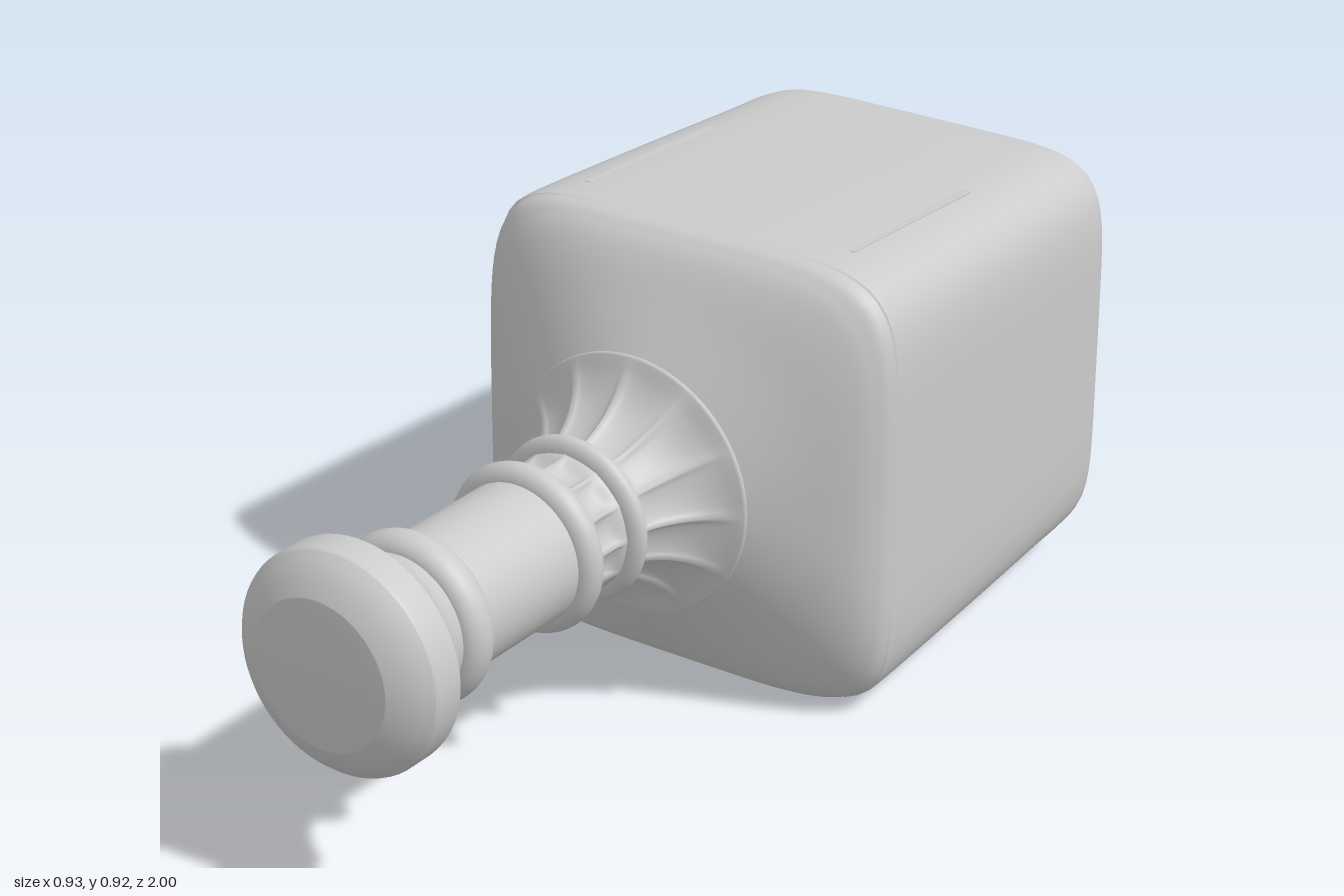
import * as THREE from 'three';

const AXIS_Y = 0.46;
const material = new THREE.MeshStandardMaterial({ color: 0xcccccc });

// Closed loft along z (front to back); pointAt(row, angle) gives [x, y, z]
function loft(rows, segments, pointAt) {
  const pos = [], index = [];
  rows.forEach((row) => {
    for (let j = 0; j < segments; j++) pos.push(...pointAt(row, (j / segments) * Math.PI * 2));
  });
  for (let i = 0; i < rows.length - 1; i++) {
    for (let j = 0; j < segments; j++) {
      const k = (j + 1) % segments;
      const a = i * segments + j, b = i * segments + k;
      const c = a + segments, d = b + segments;
      index.push(a, c, b, b, c, d);
    }
  }
  const g = new THREE.BufferGeometry();
  g.setAttribute('position', new THREE.Float32BufferAttribute(pos, 3));
  g.setIndex(index);
  g.computeVertexNormals();
  return g;
}

// Smooth curve through [z, size, third] rows
function smoothRows(rows, count) {
  const curve = new THREE.CatmullRomCurve3(rows.map((r) => new THREE.Vector3(...r)), false, 'centripetal');
  return curve.getPoints(count).map((p) => [p.x, p.y, p.z]);
}

export function createModel() {
  const model = new THREE.Group();
  const bottle = new THREE.Group();
  bottle.name = 'bottle';
  bottle.position.y = AXIS_Y;
  model.add(bottle);

  const add = (name, geometry) => {
    const mesh = new THREE.Mesh(geometry, material);
    mesh.name = name;
    bottle.add(mesh);
    return mesh;
  };
  // Turned part: profile of [radius, z] from back to front
  const turn = (name, profile) => {
    const g = new THREE.LatheGeometry(profile.map(([r, z]) => new THREE.Vector2(r, z)), 64);
    return add(name, g.rotateX(Math.PI / 2));
  };

  // Square body: rows of [z, half width, squareness], round at the shoulder, sunken at the base
  const shell = smoothRows([
    [0.06, 0.245, 2], [0, 0.337, 2.6], [-0.05, 0.41, 3.6], [-0.09, 0.449, 4.8],
    [-0.13, 0.465, 5.8], [-0.2, 0.464, 6.4], [-0.5, 0.451, 6.5], [-0.8, 0.437, 6.5],
    [-0.95, 0.429, 6.5], [-0.985, 0.42, 6.5], [-1, 0.395, 6.5], [-0.997, 0.37, 6.5],
    [-0.975, 0.33, 6.5], [-0.96, 0.28, 6.2], [-0.955, 0.15, 6], [-0.955, 0.001, 6],
  ], 110);
  add('body', loft(shell, 128, ([z, s, n], t) => {
    const c = Math.cos(t), q = Math.sin(t);
    const r = Math.max(s, 0) / Math.pow(Math.abs(c) ** n + Math.abs(q) ** n, 1 / n);
    return [r * c, r * q * 0.985, Math.max(z, -1)];
  }));

  // Thin flat panels lying on the top and bottom faces
  for (const side of [1, -1]) {
    const panel = add(side > 0 ? 'topPanel' : 'bottomPanel', new THREE.BoxGeometry(0.62, 0.02, 0.42));
    panel.position.set(0, side * 0.433, -0.43);
    panel.rotation.x = -side * 0.043;
  }

  // Fluted parts: twelve scooped channels, rows of [z, radius, channel depth]
  const fluted = (name, rows) => add(name, loft(smoothRows(rows, 24), 144, ([z, r, d], t) => {
    const rr = r - d * Math.sqrt(Math.abs(Math.sin(6 * t)));
    return [rr * Math.cos(t), rr * Math.sin(t), z];
  }));
  fluted('flutedCollar', [
    [0.235, 0.14, 0.004], [0.2, 0.147, 0.014], [0.15, 0.172, 0.018],
    [0.11, 0.205, 0.018], [0.085, 0.236, 0.012], [0.07, 0.262, 0],
  ]);
  fluted('flutedBand', [
    [0.385, 0.142, 0], [0.36, 0.14, 0.003], [0.335, 0.138, 0.016],
    [0.3, 0.138, 0.016], [0.275, 0.14, 0.003], [0.255, 0.142, 0],
  ]);
  turn('collarRim', [[0.235, 0.05], [0.262, 0.056], [0.265, 0.063], [0.262, 0.07], [0.235, 0.078]]);

  // Plain neck and its rounded rings
  turn('neck', [[0.14, 0.38], [0.14, 0.76]]);
  for (const [z, outer, half] of [[0.25, 0.167, 0.022], [0.395, 0.169, 0.03], [0.73, 0.169, 0.038]]) {
    const ring = [];
    for (let i = 0; i <= 14; i++) {
      const a = -Math.PI / 2 + (i / 14) * Math.PI;
      ring.push([outer - 0.034 + 0.034 * Math.cos(a), z + half * Math.sin(a)]);
    }
    turn('neckRing', ring);
  }

  // Stopper: concave flare, straight band, domed bevel and flat end
  turn('stopperFlare', [
    [0.138, 0.75], [0.142, 0.775], [0.152, 0.8], [0.168, 0.825], [0.19, 0.85], [0.212, 0.868], [0.219, 0.877],
  ]);
  turn('stopperBand', [[0.219, 0.877], [0.22, 0.885], [0.22, 0.935], [0.217, 0.943]]);
  turn('stopperBevel', [[0.217, 0.943], [0.203, 0.96], [0.178, 0.98], [0.147, 0.994]]);
  turn('stopperEnd', [[0.147, 0.994], [0.1, 0.998], [0, 1]]);

  return model;
}
